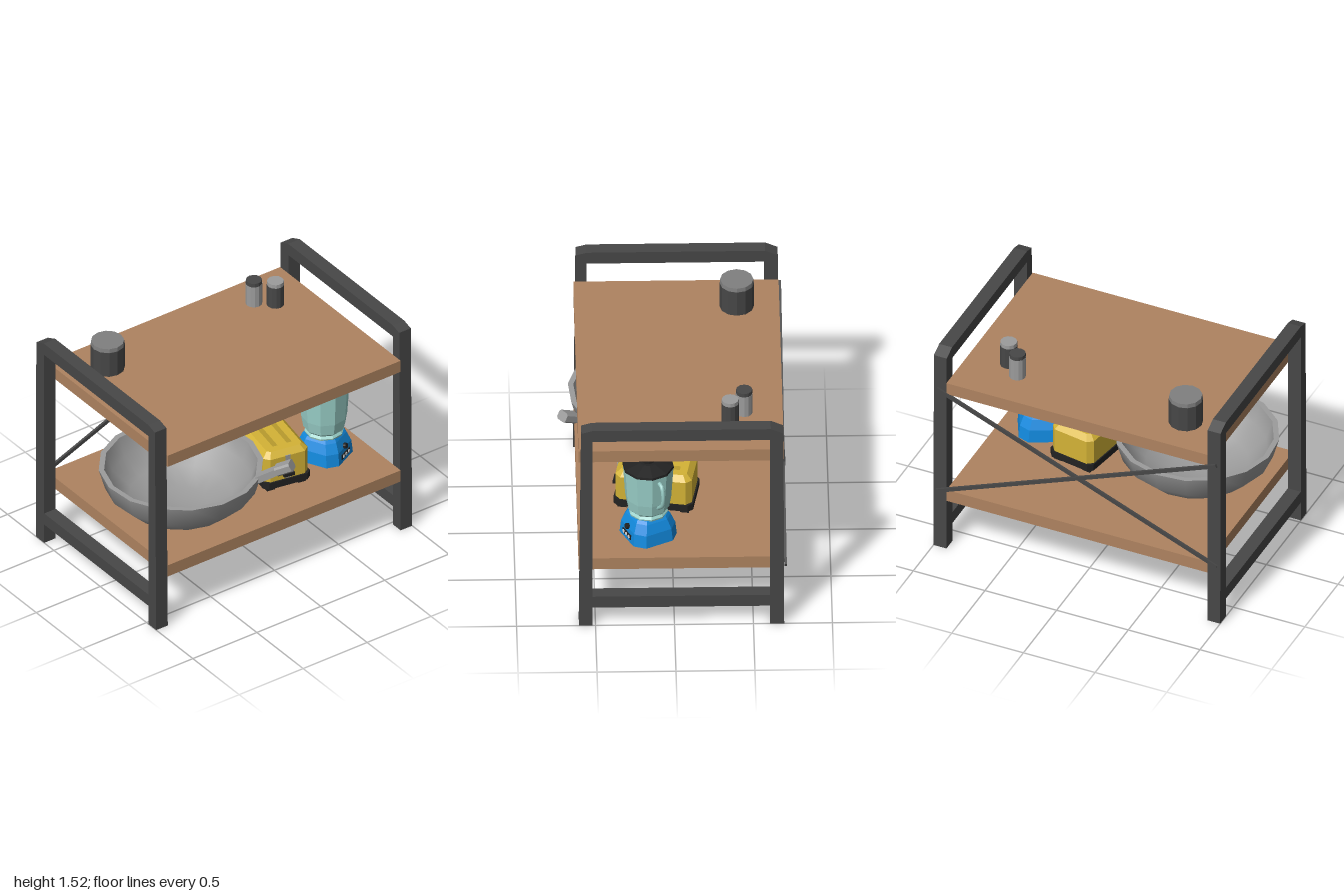
import * as THREE from 'three';
import { toCreasedNormals } from 'three/addons/utils/BufferGeometryUtils.js';

function mat(name, color) {
  const m = new THREE.MeshStandardMaterial({ color });
  m.name = name;
  return m;
}

// Faceted copy of a geometry
function flat(geo) {
  const g = geo.index ? geo.toNonIndexed() : geo;
  g.computeVertexNormals();
  return g;
}

// Rectangle outline with cut corners, counter-clockwise
function cutRect(hx, hz, c) {
  return [[hx, hz - c], [hx - c, hz], [c - hx, hz], [-hx, hz - c],
    [-hx, c - hz], [c - hx, -hz], [hx - c, -hz], [hx, c - hz]];
}

// Stack of cut-corner rings [y, halfX, halfZ, cut], closed at both ends
function loft(rings, capTop = true) {
  const pos = [], idx = [], n = 8;
  rings.forEach(([y, hx, hz, c]) => cutRect(hx, hz, c).forEach(([x, z]) => pos.push(x, y, z)));
  for (let r = 0; r < rings.length - 1; r++) {
    for (let i = 0; i < n; i++) {
      const a = r * n + i, b = r * n + (i + 1) % n;
      idx.push(a, a + n, b, b, a + n, b + n);
    }
  }
  const top = (rings.length - 1) * n;
  for (let i = 1; i < n - 1; i++) {
    idx.push(0, i, i + 1);
    if (capTop) idx.push(top, top + i + 1, top + i);
  }
  const g = new THREE.BufferGeometry();
  g.setAttribute('position', new THREE.Float32BufferAttribute(pos, 3));
  g.setIndex(idx);
  return flat(g);
}

const lathe = (pts, sides) =>
  new THREE.LatheGeometry(pts.map(([r, y]) => new THREE.Vector2(r, y)), sides);

export function createModel() {
  const wood = mat('wood', 0xae8360);
  const iron = mat('dark iron', 0x474747);
  const steel = mat('light steel', 0x9c9c9c);
  const lidGrey = mat('lid grey', 0x808080);
  const yellow = mat('yellow enamel', 0xd4b336);
  const black = mat('black plastic', 0x222222);
  const blue = mat('blue plastic', 0x128ade);
  const glass = mat('pale teal glass', 0x9ad0c9);
  const white = mat('white', 0xdddddd);

  const root = new THREE.Group();
  root.name = 'kitchenShelf';

  function add(parent, name, geo, material, x = 0, y = 0, z = 0) {
    const m = new THREE.Mesh(geo, material);
    m.name = name;
    m.position.set(x, y, z);
    parent.add(m);
    return m;
  }
  function group(name, x, y, z, turn = 0) {
    const g = new THREE.Group();
    g.name = name;
    g.position.set(x, y, z);
    g.rotation.y = turn;
    root.add(g);
    return g;
  }
  const box = (w, h, d) => new THREE.BoxGeometry(w, h, d);
  const v2 = (list) => list.map(([a, b]) => new THREE.Vector2(a, b));

  // End frames: side silhouette with a window, extruded across x
  const side = new THREE.Shape(v2([[0.605, 0], [0.59, 1.505], [0.52, 1.525], [-0.61, 1.525], [-0.69, 1.49],
    [-0.695, 0], [-0.605, 0], [-0.605, 0.14], [0.52, 0.14], [0.52, 0]]));
  side.holes.push(new THREE.Path(v2([[0.52, 0.225], [-0.605, 0.225], [-0.605, 1.44], [0.52, 1.44]])));
  const frameGeo = new THREE.ExtrudeGeometry(side, { depth: 0.09, bevelEnabled: false });
  frameGeo.rotateY(-Math.PI / 2);
  add(root, 'leftFrame', frameGeo, iron, 1);
  add(root, 'rightFrame', frameGeo, iron, -0.91);

  // Shelves
  for (const [name, y] of [['upperShelf', 1.2575], ['lowerShelf', 0.4175]]) {
    add(root, name, box(1.82, 0.085, 1.3), wood, 0, y, -0.045);
  }

  // Crossed back braces
  for (const s of [1, -1]) {
    const brace = add(root, 'backBrace', box(2.11, 0.025, 0.016), iron, 0, 0.84, s > 0 ? -0.696 : -0.704);
    brace.rotation.z = s * Math.atan2(0.8, 1.96);
  }

  // Canisters on the upper shelf
  function canister(name, x, y, z, r, h, lidH, bodyMat, lidMat) {
    const g = group(name, x, y, z);
    add(g, 'canisterBody', flat(new THREE.CylinderGeometry(r, r, h, 12)), bodyMat, 0, h / 2, 0);
    add(g, 'canisterLid', flat(new THREE.CylinderGeometry(r * 0.96, r * 0.98, lidH, 12)), lidMat, 0, h + lidH / 2, 0);
  }
  canister('largeCanister', -0.635, 1.3, -0.425, 0.11, 0.18, 0.028, iron, lidGrey);
  canister('lightShaker', 0.527, 1.315, -0.45, 0.054, 0.152, 0.026, steel, iron);
  canister('darkShaker', 0.63, 1.315, -0.36, 0.056, 0.152, 0.026, iron, steel);

  // Wide bowl with one raised grip
  const bowl = group('bowl', -0.46, 0.46, 0.125, 0.68);
  const bowlGeo = lathe([[0, 0.003], [0.18, 0.005], [0.36, 0.07], [0.485, 0.19], [0.525, 0.33],
    [0.49, 0.33], [0.45, 0.205], [0.33, 0.1], [0.17, 0.04], [0, 0.035]], 16);
  add(bowl, 'bowlShell', toCreasedNormals(bowlGeo, 0.75), steel);
  const grip = add(bowl, 'bowlGrip', box(0.06, 0.045, 0.19), steel, 0, 0.365, 0.585);
  grip.rotation.x = -0.58;
  const gripEnd = add(bowl, 'bowlGripEnd', loft([[-0.055, 0.04, 0.032, 0.012], [0.055, 0.04, 0.032, 0.012]]),
    steel, 0, 0.425, 0.68);
  gripEnd.rotation.x = Math.PI / 2 - 0.5;

  // Toaster
  const toaster = group('toaster', 0.26, 0, 0.1, -0.17);
  add(toaster, 'toasterBase', loft([[0.488, 0.165, 0.255, 0.03], [0.535, 0.165, 0.255, 0.03]]), black);
  add(toaster, 'toasterBody', loft([[0.535, 0.157, 0.245, 0.035], [0.705, 0.157, 0.245, 0.035],
    [0.74, 0.122, 0.21, 0.02]], false), yellow);
  const topShape = new THREE.Shape(v2(cutRect(0.122, 0.21, 0.02)));
  for (const x of [-0.05, 0.05]) {
    topShape.holes.push(new THREE.Path(v2([[x - 0.02, -0.16], [x - 0.02, 0.16], [x + 0.02, 0.16], [x + 0.02, -0.16]])));
  }
  const topGeo = new THREE.ExtrudeGeometry(topShape, { depth: 0.06, bevelEnabled: false });
  topGeo.rotateX(-Math.PI / 2);
  add(toaster, 'slottedTop', topGeo, yellow, 0, 0.68, 0);
  add(toaster, 'slotFloor', box(0.2, 0.01, 0.38), yellow, 0, 0.682, 0);
  add(toaster, 'leverTrack', box(0.035, 0.17, 0.006), steel, 0, 0.625, 0.247);
  add(toaster, 'lever', box(0.075, 0.022, 0.03), black, 0, 0.575, 0.26);
  for (const x of [-0.11, 0.11]) {
    for (const z of [-0.2, 0.2]) add(toaster, 'toasterFoot', box(0.055, 0.03, 0.055), black, x, 0.475, z);
  }

  // Blender: base, controls, jug, handle and lid
  const blender = group('blender', 0.635, 0, 0.16, 0.47);
  add(blender, 'blenderBase', loft([[0.462, 0.155, 0.155, 0.06], [0.55, 0.147, 0.147, 0.058],
    [0.615, 0.122, 0.122, 0.05], [0.635, 0.11, 0.11, 0.045]]), blue);
  add(blender, 'buttonPanel', box(0.11, 0.034, 0.006), black, 0, 0.502, 0.153);
  for (const x of [-0.034, 0, 0.034]) {
    const button = add(blender, 'button', new THREE.CylinderGeometry(0.012, 0.012, 0.006, 10), white, x, 0.502, 0.157);
    button.rotation.x = Math.PI / 2;
  }
  const knob = add(blender, 'knob', flat(new THREE.CylinderGeometry(0.018, 0.02, 0.025, 10)), black, 0, 0.56, 0.148);
  knob.rotation.x = Math.PI / 2 - 0.3;
  add(blender, 'jug', flat(lathe([[0, 0.63], [0.125, 0.632], [0.128, 0.645], [0.115, 0.66], [0.135, 0.68],
    [0.148, 0.76], [0.162, 0.985], [0, 0.985]], 10)), glass);
  add(blender, 'jugLid', flat(lathe([[0, 0.98], [0.165, 0.982], [0.163, 0.998], [0.06, 1.022], [0.042, 1.024],
    [0.042, 1.042], [0, 1.045]], 10)), black);
  const handlePath = new THREE.CatmullRomCurve3([[0.14, 0.94], [0.185, 0.93], [0.205, 0.86], [0.19, 0.79],
    [0.14, 0.74]].map(([x, y]) => new THREE.Vector3(x, y, 0)));
  add(blender, 'jugHandle', new THREE.TubeGeometry(handlePath, 12, 0.014, 6), glass);

  return root;
}
